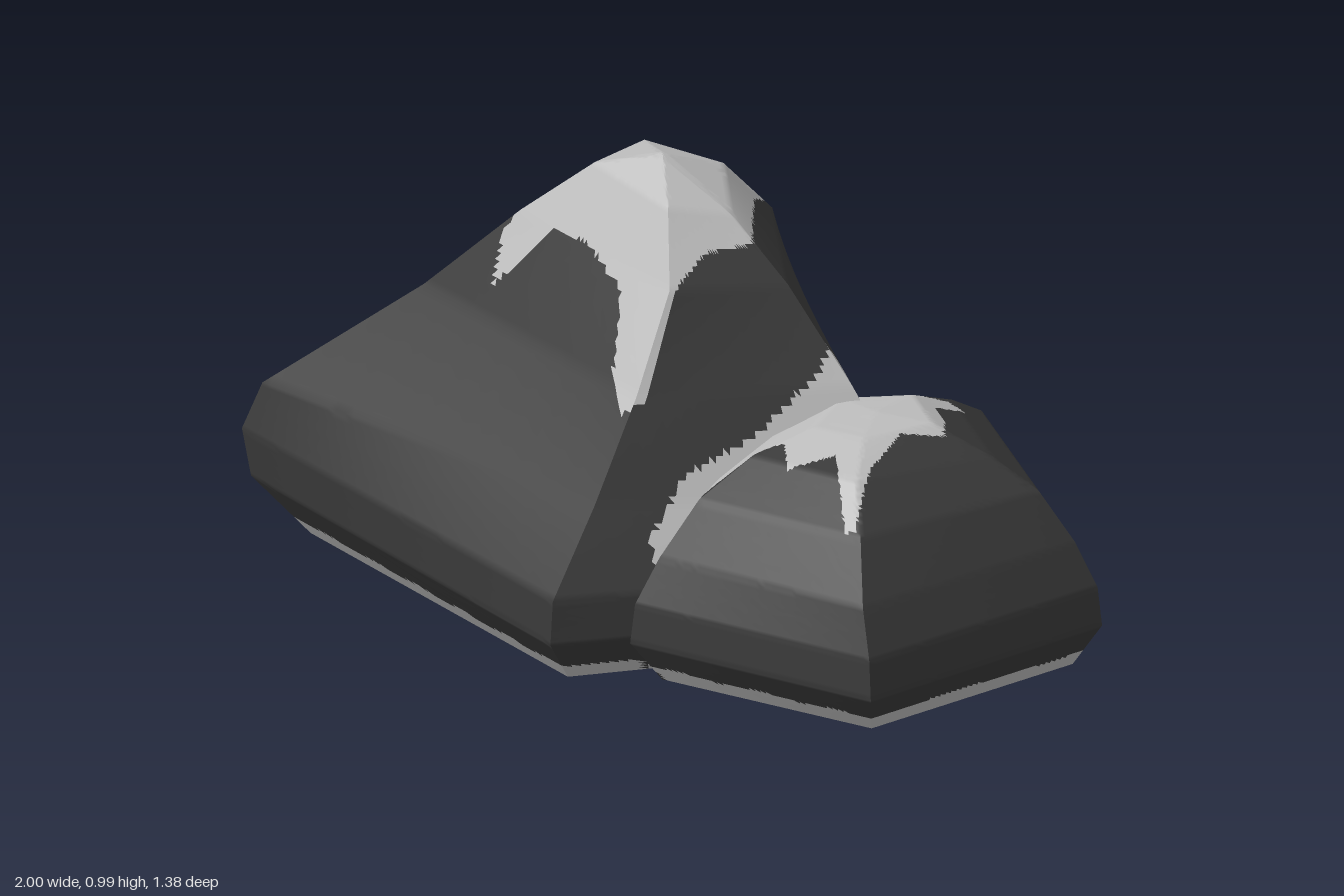
import * as THREE from 'three';
import { toCreasedNormals } from 'three/addons/utils/BufferGeometryUtils.js';

const rock = new THREE.MeshStandardMaterial({ color: 0x393939, side: THREE.DoubleSide });
rock.name = 'dark rock';
const snow = new THREE.MeshStandardMaterial({ color: 0xbdbdbd, side: THREE.DoubleSide });
snow.name = 'pale cap';

const U = 40, V = 14; // subdivisions across a face and along each ridge step
const RIM = 5; // index of the widest point on every ridge

function inside(x, z, poly) {
  let hit = false;
  for (let i = 0, j = poly.length - 1; i < poly.length; j = i++) {
    const [xi, zi] = poly[i], [xj, zj] = poly[j];
    if ((zi > z) !== (zj > z) && x < ((xj - xi) * (z - zi)) / (zj - zi) + xi) hit = !hit;
  }
  return hit;
}

const footprint = (ridges) => ridges.map((ridge) => [ridge[RIM][0], ridge[RIM][2]]);

// Ridges run from the peak to the ground; faces are stretched between neighbours.
// The pale foot band is left out where the other rock covers it.
function makeRock(name, peak, ridges, patches, covered) {
  const round = (v) => Math.round(v * 1e4) / 1e4;
  const rails = ridges.map((ridge) => [peak, ...ridge].map((p) => new THREE.Vector3(...p)));
  const faces = { rock: [], snow: [] };

  const addTriangle = (a, b, c) => {
    const x = (a.x + b.x + c.x) / 3, y = (a.y + b.y + c.y) / 3, z = (a.z + b.z + c.z) / 3;
    const foot = y < 0.036 + 0.003 * Math.sin(x * 31 + z * 23) && !inside(x, z, covered);
    const pale = foot || patches.some((p) => inside(x, z, p));
    for (const p of [a, b, c]) faces[pale ? 'snow' : 'rock'].push(p.x, p.y, p.z);
  };

  rails.forEach((left, i) => {
    const right = rails[(i + 1) % rails.length];
    for (let k = 0; k < left.length - 1; k++) {
      const point = (u, v) => {
        const a = left[k].clone().lerp(left[k + 1], v / V);
        const p = a.lerp(right[k].clone().lerp(right[k + 1], v / V), u / U);
        return p.set(round(p.x), round(p.y), round(p.z));
      };
      for (let v = 0; v < V; v++) {
        for (let u = 0; u < U; u++) {
          const a = point(u, v), b = point(u, v + 1), c = point(u + 1, v + 1), d = point(u + 1, v);
          addTriangle(a, b, c);
          if (k + v > 0) addTriangle(a, c, d);
        }
      }
    }
  });

  const geometry = new THREE.BufferGeometry();
  geometry.setAttribute('position',
    new THREE.Float32BufferAttribute(faces.rock.concat(faces.snow), 3));
  const split = faces.rock.length / 3;
  const creased = toCreasedNormals(geometry, 0.8);
  creased.clearGroups();
  creased.addGroup(0, split, 0);
  creased.addGroup(split, faces.snow.length / 3, 1);
  const mesh = new THREE.Mesh(creased, [rock, snow]);
  mesh.name = name;
  return mesh;
}

export function createModel() {
  const group = new THREE.Group();
  group.name = 'cappedRocks';

  // Tall rock: left, front, right, back right and back left ridges
  const tallRidges = [
    [[-0.25, 0.94, 0.02], [-0.42, 0.8, 0.05], [-0.64, 0.59, 0.09], [-0.96, 0.34, 0.24], [-1, 0.23, 0.26], [-0.98, 0.12, 0.255], [-0.85, 0, 0.22]],
    [[-0.01, 0.92, 0.11], [0.06, 0.78, 0.22], [0.06, 0.58, 0.36], [0.05, 0.38, 0.52], [0.04, 0.21, 0.68], [0.04, 0.11, 0.69], [0.03, 0, 0.6]],
    [[0.09, 0.89, 0.01], [0.24, 0.76, 0.02], [0.41, 0.56, 0.03], [0.57, 0.33, 0.03], [0.67, 0.19, 0.03], [0.69, 0.1, 0.03], [0.6, 0, 0.03]],
    [[-0.02, 0.93, -0.14], [0.02, 0.78, -0.28], [0, 0.56, -0.4], [0, 0.35, -0.51], [0.01, 0.18, -0.62], [0.02, 0.09, -0.67], [0.01, 0, -0.6]],
    [[-0.22, 0.94, -0.14], [-0.365, 0.78, -0.28], [-0.55, 0.51, -0.47], [-0.69, 0.35, -0.62], [-0.75, 0.24, -0.68], [-0.76, 0.12, -0.69], [-0.71, 0, -0.635]],
  ];
  // Cap with drips, and the patch beside the low rock, as seen from above
  const tallCap = [
    [-0.465, -0.44], [-0.4, -0.44], [-0.38, -0.37], [-0.315, -0.29], [-0.19, -0.2], [-0.11, -0.2], [-0.085, -0.28],
    [0, -0.31], [0.03, -0.19], [0.085, -0.09], [0.15, 0.02], [0.085, 0.11], [0.07, 0.2],
    [0.08, 0.35], [0.04, 0.385], [-0.03, 0.31], [-0.075, 0.2], [-0.21, 0.12], [-0.315, 0.09],
    [-0.44, 0.13], [-0.455, 0.07], [-0.35, -0.02], [-0.34, -0.13], [-0.41, -0.25], [-0.465, -0.35],
  ];
  const sidePatch = [
    [0.34, -0.27], [0.4, -0.26], [0.45, -0.1], [0.48, 0.03], [0.4, 0.17], [0.3, 0.33], [0.2, 0.5],
    [0.16, 0.47], [0.18, 0.36], [0.28, 0.21], [0.35, 0.06], [0.335, -0.01], [0.36, -0.06], [0.33, -0.2],
  ];

  // Low domed rock: left, front left, front right, right and back ridges
  const lowPeak = [0.5, 0.54, 0.08];
  const ridgeTo = (x, z, profile) => profile.map(([f, y]) =>
    [lowPeak[0] + (x - lowPeak[0]) * f, y, lowPeak[2] + (z - lowPeak[2]) * f]);
  const foot = [[0.88, 0.29], [0.98, 0.19], [1, 0.1], [0.87, 0]];
  const dome = [[0.25, 0.53], [0.52, 0.465], [0.72, 0.4], ...foot];
  const fullDome = [[0.25, 0.53], [0.5, 0.49], [0.72, 0.41], ...foot];
  const lowRidges = [
    ridgeTo(0.04, -0.09, dome),
    ridgeTo(0.17, 0.57, fullDome),
    [[0.54, 0.53, 0.2], [0.6, 0.49, 0.33], [0.67, 0.41, 0.43], [0.73, 0.29, 0.52], [0.77, 0.19, 0.56], [0.78, 0.1, 0.57], [0.74, 0, 0.5]],
    ridgeTo(1, -0.04, dome),
    ridgeTo(0.54, -0.47, dome),
  ];
  const lowCap = [
    [0.16, 0.5], [0.18, 0.36], [0.28, 0.2], [0.34, 0.03], [0.33, -0.25], [0.38, -0.26], [0.45, -0.18],
    [0.51, -0.08], [0.53, -0.17], [0.57, -0.175], [0.56, -0.07], [0.62, -0.01], [0.66, 0.06],
    [0.59, 0.13], [0.6, 0.27], [0.65, 0.42], [0.63, 0.43], [0.57, 0.35], [0.51, 0.27],
    [0.43, 0.34], [0.38, 0.27], [0.27, 0.37], [0.19, 0.5],
  ];

  group.add(
    makeRock('tallRock', [-0.09, 0.99, 0], tallRidges, [tallCap, sidePatch], footprint(lowRidges)),
    makeRock('lowRock', lowPeak, lowRidges, [lowCap], footprint(tallRidges)),
  );
  return group;
}
